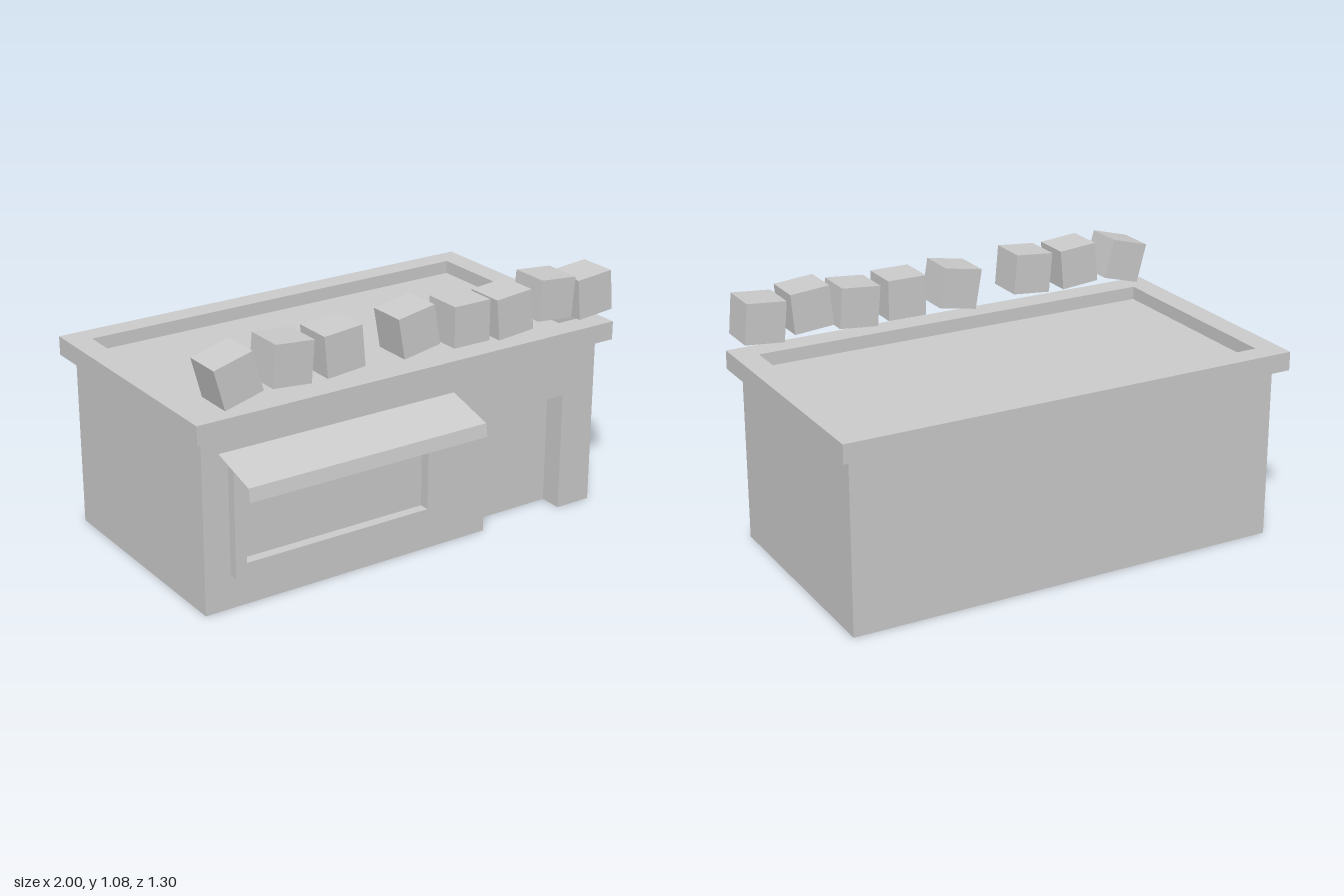
import * as THREE from 'three';

const material = new THREE.MeshStandardMaterial({ color: 0xcccccc, flatShading: true, side: THREE.DoubleSide });

export function createModel() {
  const model = new THREE.Group();

  const add = (name, geometry, x = 0, y = 0, z = 0) => {
    const mesh = new THREE.Mesh(geometry, material);
    mesh.name = name;
    mesh.position.set(x, y, z);
    model.add(mesh);
    return mesh;
  };

  // Joins successive cross-sections (lists of [x, y, z]) with flat quads
  const loft = (sections, closed) => {
    const points = [];
    for (let i = 0; i < sections.length - 1; i++) {
      const a = sections[i], b = sections[i + 1], n = a.length;
      for (let j = 0; j < (closed ? n : n - 1); j++) {
        const k = (j + 1) % n;
        points.push(...a[j], ...a[k], ...b[k], ...a[j], ...b[k], ...b[j]);
      }
    }
    const geometry = new THREE.BufferGeometry();
    geometry.setAttribute('position', new THREE.Float32BufferAttribute(points, 3));
    geometry.computeVertexNormals();
    return geometry;
  };

  const rect = (x0, x1, y0, y1) => [[x0, y0], [x1, y0], [x1, y1], [x0, y1]];
  const atZ = (outline, z) => outline.map(([x, y]) => [x, y, z]);
  const toPoints = (outline) => outline.map(([x, y]) => new THREE.Vector2(x, y));

  const W = 0.955, H = 0.745, FRONT = 0.425, BACK = -0.595;
  const doorL = 0.385, doorR = 0.79, doorTop = 0.52, doorZ = 0.325;
  const frameOuter = rect(-0.84, 0.11, 0.145, 0.605);
  const frameInner = rect(-0.79, 0.065, 0.2, 0.55);

  // Front wall with a door notch and a window opening
  const wall = new THREE.Shape(toPoints([
    [-W, 0], [doorL, 0], [doorL, doorTop], [doorR, doorTop], [doorR, 0], [W, 0], [W, H], [-W, H],
  ]));
  wall.holes.push(new THREE.Path(toPoints(frameOuter)));
  add('frontWall', new THREE.ShapeGeometry(wall), 0, 0, FRONT);

  // Side and back walls as one open run, with no floor
  const run = (y) => [[W, y, FRONT], [W, y, BACK], [-W, y, BACK], [-W, y, FRONT]];
  add('sideAndBackWalls', loft([run(0), run(H)], false));

  // Door recess and panel
  const jamb = (z) => [[doorR, 0, z], [doorR, doorTop, z], [doorL, doorTop, z], [doorL, 0, z]];
  add('doorRecess', loft([jamb(FRONT), jamb(doorZ)], false));
  add('doorPanel', new THREE.PlaneGeometry(doorR - doorL, doorTop), (doorL + doorR) / 2, doorTop / 2, doorZ);

  // Raised window frame, hollow behind, and its pane
  add('windowFrame', loft([
    atZ(frameOuter, FRONT), atZ(frameOuter, 0.465), atZ(frameInner, 0.465), atZ(frameInner, 0.42),
  ], true));
  add('windowPane', new THREE.ShapeGeometry(new THREE.Shape(toPoints(frameInner))), 0, 0, 0.42);

  // Thin awning sheet with a steep front lip, running through the wall
  const awningProfile = [[0.55, 0.65], [0.605, 0.64], [0.69, 0.33]];
  add('awning', loft(awningProfile.map(([y, z]) => [[-0.88, y, z], [0.217, y, z]]), false));

  // Overhanging roof rim around a sunken deck
  const rim = new THREE.Shape(toPoints(rect(-1, 1, -0.48, 0.65)));
  rim.holes.push(new THREE.Path(toPoints(rect(-0.9, 0.9, -0.37, 0.55))));
  const rimGeometry = new THREE.ExtrudeGeometry(rim, { depth: 0.08, bevelEnabled: false });
  add('roofRim', rimGeometry.rotateX(-Math.PI / 2), 0, H, 0);
  add('roofDeck', new THREE.PlaneGeometry(1.8, 0.92).rotateX(-Math.PI / 2), 0, 0.768, -0.09);

  // Row of tilted sign blocks above the roof edge: x, y, z, tilt in degrees
  const blockGeometry = new THREE.BoxGeometry(0.173, 0.173, 0.17);
  [
    [-0.825, 0.969, 0.41, 15],
    [-0.586, 0.983, 0.41, -5],
    [-0.356, 0.984, 0.41, 5],
    [0.008, 0.981, 0.387, 10],
    [0.248, 0.972, 0.41, 0],
    [0.464, 0.967, 0.41, 5],
    [0.678, 0.991, 0.41, -5],
    [0.882, 0.969, 0.41, 5],
  ].forEach(([x, y, z, tilt], i) => {
    add(`signBlock${i + 1}`, blockGeometry, x, y, z).rotation.z = THREE.MathUtils.degToRad(tilt);
  });

  return model;
}
